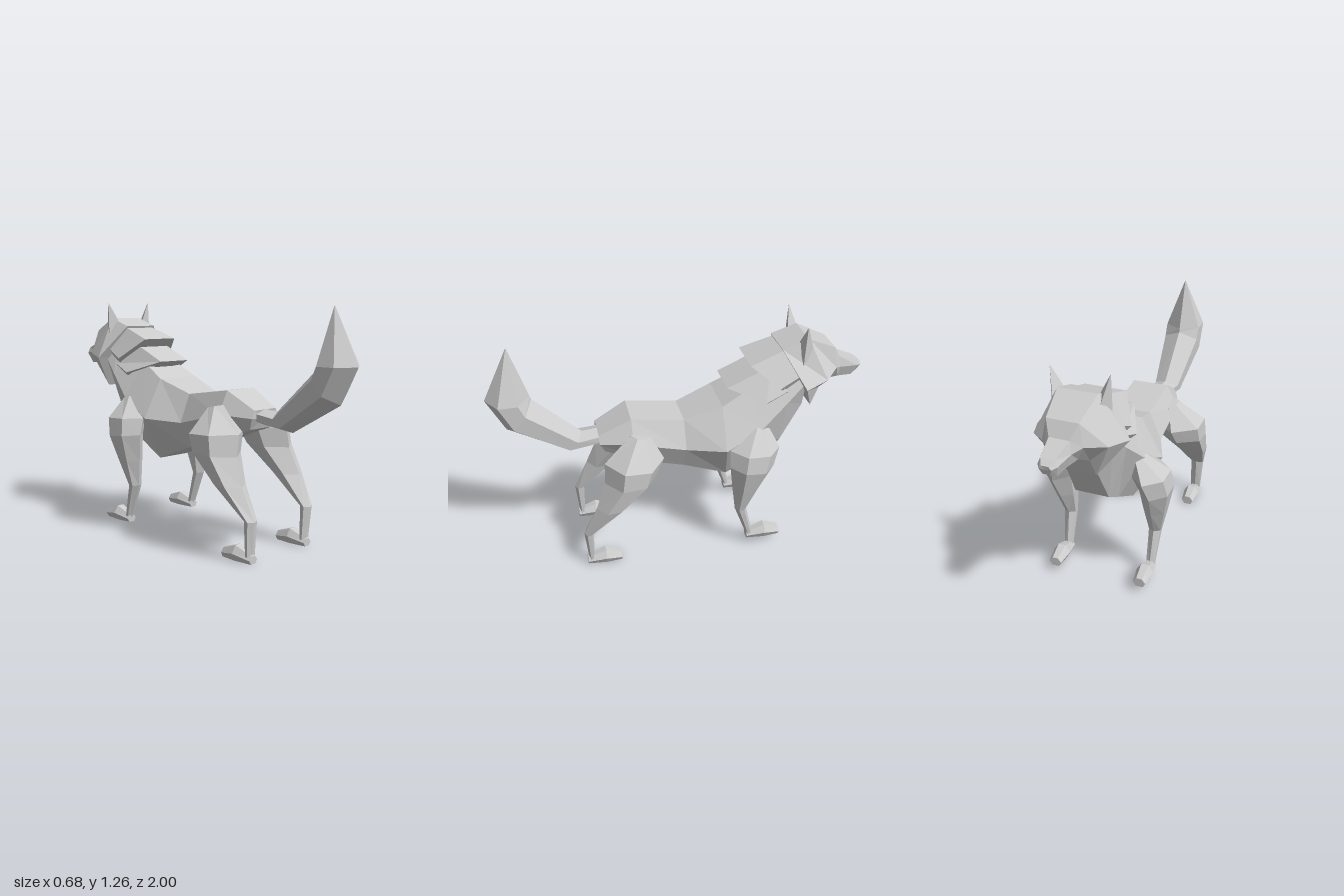
import * as THREE from 'three';

// Flat-shaded solid through a list of equal-sized loops of [x, y, z], closed at both ends.
function loft(name, rings, material) {
  const tris = [];
  const n = rings[0].length;
  const middle = (r) => [0, 1, 2].map((k) => r.reduce((s, p) => s + p[k], 0) / n);
  for (let i = 0; i < rings.length - 1; i++) {
    const a = rings[i], b = rings[i + 1];
    for (let j = 0; j < n; j++) {
      const k = (j + 1) % n;
      tris.push([a[j], a[k], b[k]], [a[j], b[k], b[j]]);
    }
  }
  const first = rings[0], last = rings[rings.length - 1];
  const c0 = middle(first), c1 = middle(last);
  for (let j = 0; j < n; j++) {
    const k = (j + 1) % n;
    tris.push([c0, first[k], first[j]], [c1, last[j], last[k]]);
  }
  // Turn the faces outward whichever way the loops run
  const v = tris.map((t) => t.map((p) => new THREE.Vector3(...p)));
  const volume = v.reduce((s, [a, b, c]) => s + a.dot(b.clone().cross(c)), 0);
  const points = v.flatMap(([a, b, c]) => (volume < 0 ? [a, c, b] : [a, b, c]));
  const geometry = new THREE.BufferGeometry().setFromPoints(points);
  geometry.computeVertexNormals();
  const mesh = new THREE.Mesh(geometry, material);
  mesh.name = name;
  return mesh;
}

// Symmetric six-sided section from top, middle and bottom pairs, each [z, y, halfWidth]
const section = ([top, mid, bot]) => [
  [top[2], top[1], top[0]], [mid[2], mid[1], mid[0]], [bot[2], bot[1], bot[0]],
  [-bot[2], bot[1], bot[0]], [-mid[2], mid[1], mid[0]], [-top[2], top[1], top[0]],
];

// Six-sided section with corners at a front and a back point: [cx, [z, y], [z, y], halfWidth]
function limbRing([cx, a, b, w], side = 1) {
  const at = (t, dx) => [side * (cx + dx), a[1] + (b[1] - a[1]) * t, a[0] + (b[0] - a[0]) * t];
  return [at(0, 0), at(0.28, w), at(0.72, w), at(1, 0), at(0.72, -w), at(0.28, -w)];
}

// Upright paw section: flat sole, wide middle, narrow top
const pawRing = (cx, z, y, h, w) => [
  [cx - w * 0.6, y, z], [cx + w * 0.6, y, z], [cx + w, y + h * 0.5, z],
  [cx + w * 0.45, y + h, z], [cx - w * 0.45, y + h, z], [cx - w, y + h * 0.5, z],
];

export function createModel() {
  const model = new THREE.Group();
  model.name = 'wolf';
  const fur = new THREE.MeshStandardMaterial({ color: 0xcccccc });
  fur.name = 'grey fur';
  const add = (name, rings) => model.add(loft(name, rings, fur));

  // Torso and neck, rump to throat
  add('body', [
    [[0.45, 0.73, 0.08], [0.45, 0.69, 0.1], [0.42, 0.63, 0.08]],
    [[0.28, 0.82, 0.1], [0.28, 0.7, 0.16], [0.2, 0.545, 0.1]],
    [[0, 0.78, 0.1], [0, 0.63, 0.165], [0, 0.49, 0.1]],
    [[-0.2, 0.85, 0.13], [-0.2, 0.64, 0.245], [-0.24, 0.4, 0.1]],
    [[-0.36, 0.935, 0.11], [-0.4, 0.74, 0.22], [-0.44, 0.51, 0.1]],
    [[-0.5, 1.01, 0.1], [-0.54, 0.86, 0.185], [-0.54, 0.565, 0.09]],
    [[-0.62, 1.1, 0.09], [-0.64, 0.95, 0.16], [-0.66, 0.78, 0.08]],
  ].map(section));

  // Two flared layers of neck fur, undercut at the back
  add('upperMane', [
    [[-0.56, 1.13, 0.09], [-0.6, 1.0, 0.17], [-0.62, 0.88, 0.08]],
    [[-0.35, 1.06, 0.11], [-0.49, 0.95, 0.19], [-0.58, 0.85, 0.08]],
  ].map(section));
  add('lowerMane', [
    [[-0.46, 1.04, 0.1], [-0.54, 0.92, 0.17], [-0.54, 0.8, 0.08]],
    [[-0.23, 0.94, 0.1], [-0.42, 0.875, 0.19], [-0.48, 0.8, 0.08]],
  ].map(section));

  // Head from the cheek ruff to the nose
  add('head', [
    [[-0.52, 1.13, 0.1], [-0.62, 0.95, 0.235], [-0.7, 0.78, 0.1]],
    [[-0.66, 1.175, 0.1], [-0.75, 0.97, 0.185], [-0.745, 0.88, 0.09]],
    [[-0.82, 1.1, 0.08], [-0.83, 0.99, 0.1], [-0.8, 0.91, 0.06]],
    [[-0.86, 1.03, 0.05], [-0.87, 0.97, 0.062], [-0.87, 0.905, 0.04]],
    [[-0.97, 0.99, 0.035], [-0.975, 0.96, 0.047], [-0.95, 0.9, 0.03]],
    [[-1, 0.97, 0.018], [-1, 0.955, 0.03], [-0.99, 0.925, 0.018]],
  ].map(section));

  // Tail, base to raised tip
  add('tail', [
    [0, [0.42, 0.655], [0.42, 0.735], 0.06],
    [0, [0.63, 0.63], [0.53, 0.725], 0.07],
    [0, [0.91, 0.79], [0.77, 0.95], 0.1],
    [0, [1, 0.97], [0.775, 0.97], 0.1],
    [0, [0.864, 1.245], [0.86, 1.245], 0.002],
  ].map((r) => limbRing(r)));

  const rearLeg = [
    [0.14, [0.19, 0.73], [0.29, 0.75], 0.035],
    [0.18, [0.125, 0.61], [0.44, 0.62], 0.125],
    [0.2, [0.165, 0.53], [0.445, 0.51], 0.11],
    [0.22, [0.33, 0.385], [0.5, 0.37], 0.075],
    [0.215, [0.525, 0.22], [0.577, 0.21], 0.035],
    [0.21, [0.53, 0.04], [0.56, 0.03], 0.028],
  ];
  const frontLeg = [
    [0.19, [-0.44, 0.73], [-0.34, 0.755], 0.025],
    [0.24, [-0.49, 0.63], [-0.22, 0.64], 0.085],
    [0.265, [-0.455, 0.53], [-0.215, 0.55], 0.075],
    [0.255, [-0.39, 0.4], [-0.235, 0.4], 0.055],
    [0.245, [-0.32, 0.26], [-0.255, 0.26], 0.032],
    [0.24, [-0.365, 0.06], [-0.33, 0.06], 0.022],
  ];

  for (const side of [1, -1]) {
    const label = side > 0 ? 'left' : 'right';
    add(label + 'RearLeg', rearLeg.map((r) => limbRing(r, side)));
    add(label + 'FrontLeg', frontLeg.map((r) => limbRing(r, side)));
    for (const [part, cx, heel, y] of [['RearPaw', 0.21, 0.567, 0], ['FrontPaw', 0.24, -0.328, 0.04]]) {
      add(label + part, [
        pawRing(side * cx, heel, y, 0.04, 0.028),
        pawRing(side * cx, heel - 0.1, y, 0.078, 0.046),
        pawRing(side * cx, heel - 0.187, y, 0.048, 0.034),
      ]);
    }
    // Pointed ear: triangular base drawn up to a tip
    const base = [[0.085, 1.15, -0.61], [0.152, 1.05, -0.62], [0.11, 1.1, -0.69]];
    const tip = [[0.147, 1.262, -0.629], [0.149, 1.262, -0.629], [0.148, 1.262, -0.632]];
    add(label + 'Ear', [base, tip].map((r) => r.map(([x, y, z]) => [side * x, y, z])));
  }
  return model;
}
